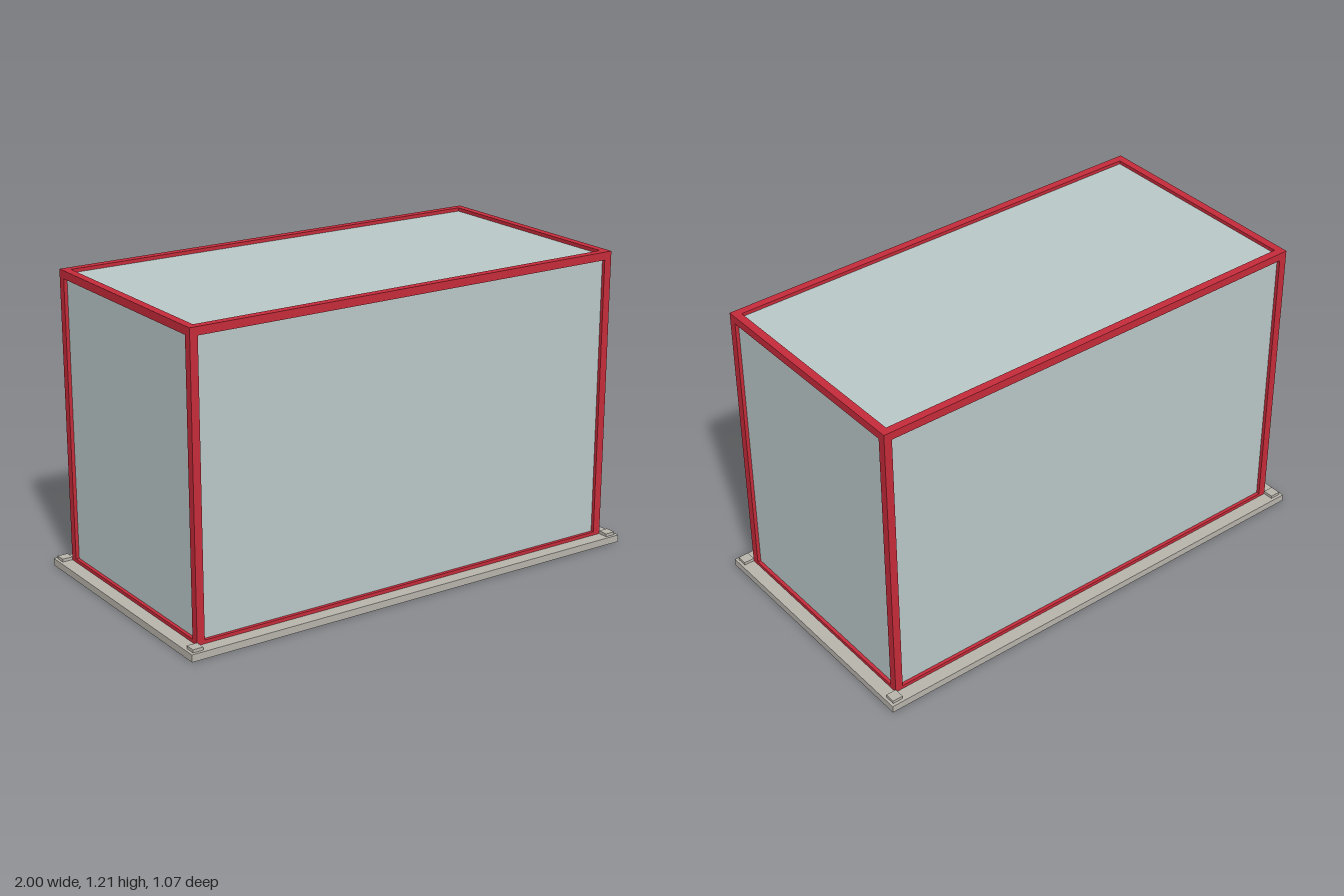
import * as THREE from 'three';

export function createModel() {
  const model = new THREE.Group();
  model.name = 'framedBooth';

  const material = (name, color) => {
    const m = new THREE.MeshStandardMaterial({ color });
    m.name = name;
    return m;
  };
  const red = material('red frame', 0xc62b3a);
  const glass = material('pale glass', 0xbac8c8);
  const stone = material('grey base', 0xb8b4ac);

  const box = (name, mat, w, h, d, x, y, z) => {
    const mesh = new THREE.Mesh(new THREE.BoxGeometry(w, h, d), mat);
    mesh.name = name;
    mesh.position.set(x, y, z);
    model.add(mesh);
  };

  const X = 0.946, Z = 0.481;           // outer half sizes of the frame
  const TOP = 1.208, BAR = 0.032;       // frame height and bar thickness
  const BASE = 0.029;                   // base plate thickness
  const SILL = 0.043;                   // top of the bottom rails
  const INSET = 0.014;                  // panels sit back from the frame

  // Base plate
  box('basePlate', stone, 2, BASE, 1.072, 0, BASE / 2, 0);

  // Corner posts and foot pads
  for (const sx of [-1, 1]) {
    for (const sz of [-1, 1]) {
      box('cornerPost', red, BAR, TOP - BASE, BAR,
        sx * (X - BAR / 2), (TOP + BASE) / 2, sz * (Z - BAR / 2));
      box('footPad', stone, 0.043, 0.012, 0.043, sx * 0.967, BASE + 0.006, sz * 0.502);
    }
  }

  // Top and bottom rails between the posts
  for (const [name, y0, y1] of [['bottomRail', BASE, SILL], ['topRail', TOP - BAR, TOP]]) {
    for (const s of [-1, 1]) {
      box(name, red, 2 * (X - BAR), y1 - y0, BAR, 0, (y0 + y1) / 2, s * (Z - BAR / 2));
      box(name, red, BAR, y1 - y0, 2 * (Z - BAR), s * (X - BAR / 2), (y0 + y1) / 2, 0);
    }
  }

  // Glass panels on the four sides and the roof
  const T = 0.006, h = TOP - INSET - BASE, y = BASE + h / 2;
  for (const s of [-1, 1]) {
    box('longPanel', glass, 2 * (X - INSET), h, T, 0, y, s * (Z - INSET - T / 2));
    box('endPanel', glass, T, h, 2 * (Z - INSET), s * (X - INSET - T / 2), y, 0);
  }
  box('roofPanel', glass, 2 * (X - INSET), T, 2 * (Z - INSET), 0, TOP - INSET - T / 2, 0);

  return model;
}
